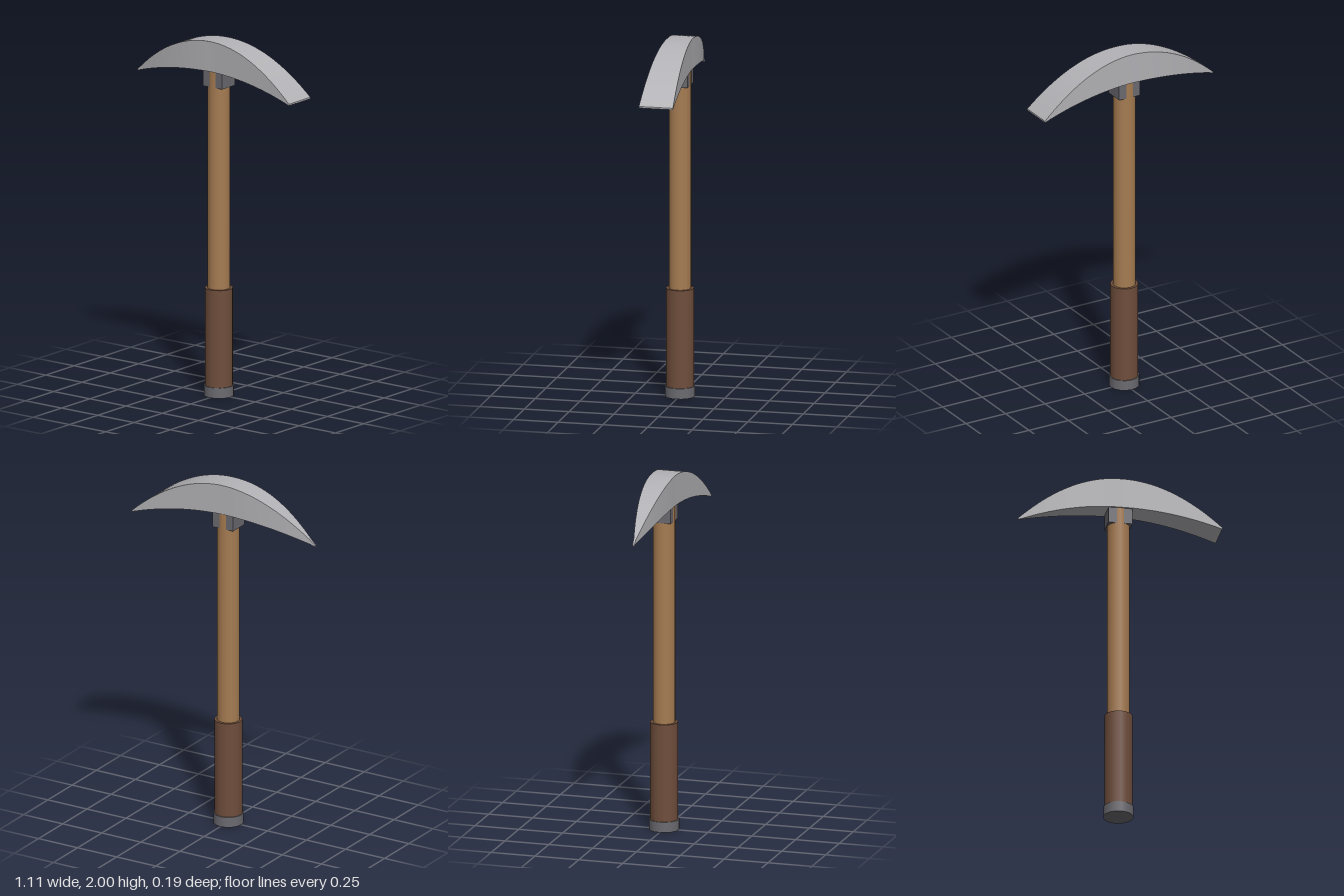
import * as THREE from 'three';

const material = (name, color) => {
  const m = new THREE.MeshStandardMaterial({ color });
  m.name = name;
  return m;
};

// Curved head swept along x from a narrow pick (-x) to a wide adze blade (+x)
function headGeometry() {
  const half = 0.557, steps = 40;
  const section = (x) => {
    const t = x / half;
    const top = 2 - 0.255 * t * t;
    const bottom = 1.83 - 0.094 * t * t;
    const w = t > 0 ? 0.068 + 0.027 * t : Math.max(0.005, 0.068 * (1 - t * t));
    return [[x, top, w], [x, top, -w], [x, bottom, -w], [x, bottom, w]];
  };
  const sections = [];
  for (let i = 0; i <= steps; i++) sections.push(section(-half + (2 * half * i) / steps));

  const positions = [], index = [];
  // One strip per side keeps the long edges sharp
  for (let k = 0; k < 4; k++) {
    const base = positions.length / 3;
    for (const s of sections) positions.push(...s[k], ...s[(k + 1) % 4]);
    for (let i = 0; i < steps; i++) {
      const a = base + 2 * i;
      index.push(a, a + 2, a + 1, a + 1, a + 2, a + 3);
    }
  }
  // End faces
  const endFace = (s, order) => {
    const base = positions.length / 3;
    s.forEach((p) => positions.push(...p));
    order.forEach((n) => index.push(base + n));
  };
  endFace(sections[0], [0, 1, 2, 0, 2, 3]);
  endFace(sections[steps], [0, 2, 1, 0, 3, 2]);

  const g = new THREE.BufferGeometry();
  g.setAttribute('position', new THREE.Float32BufferAttribute(positions, 3));
  g.setIndex(index);
  g.computeVertexNormals();
  return g;
}

export function createModel() {
  const group = new THREE.Group();
  const steel = material('steel', 0xb2b2b6);
  const darkMetal = material('dark metal', 0x6a6a70);
  const wood = material('wood', 0xa67c52);
  const leather = material('leather', 0x6f4e3c);

  const add = (name, geometry, mat, y = 0) => {
    const mesh = new THREE.Mesh(geometry, mat);
    mesh.name = name;
    mesh.position.y = y;
    group.add(mesh);
  };
  const rod = (name, radius, y0, y1, mat) =>
    add(name, new THREE.CylinderGeometry(radius, radius, y1 - y0, 16), mat, (y0 + y1) / 2);

  // Handle, grip and pommel
  rod('handle', 0.062, 0.05, 1.88, wood);
  rod('grip', 0.077, 0.05, 0.605, leather);
  rod('endCap', 0.083, 0, 0.058, darkMetal);

  // Collar block under the head; the round handle bulges through front and back
  add('collar', new THREE.BoxGeometry(0.132, 0.11, 0.116), darkMetal, 1.795);

  add('head', headGeometry(), steel);
  return group;
}
